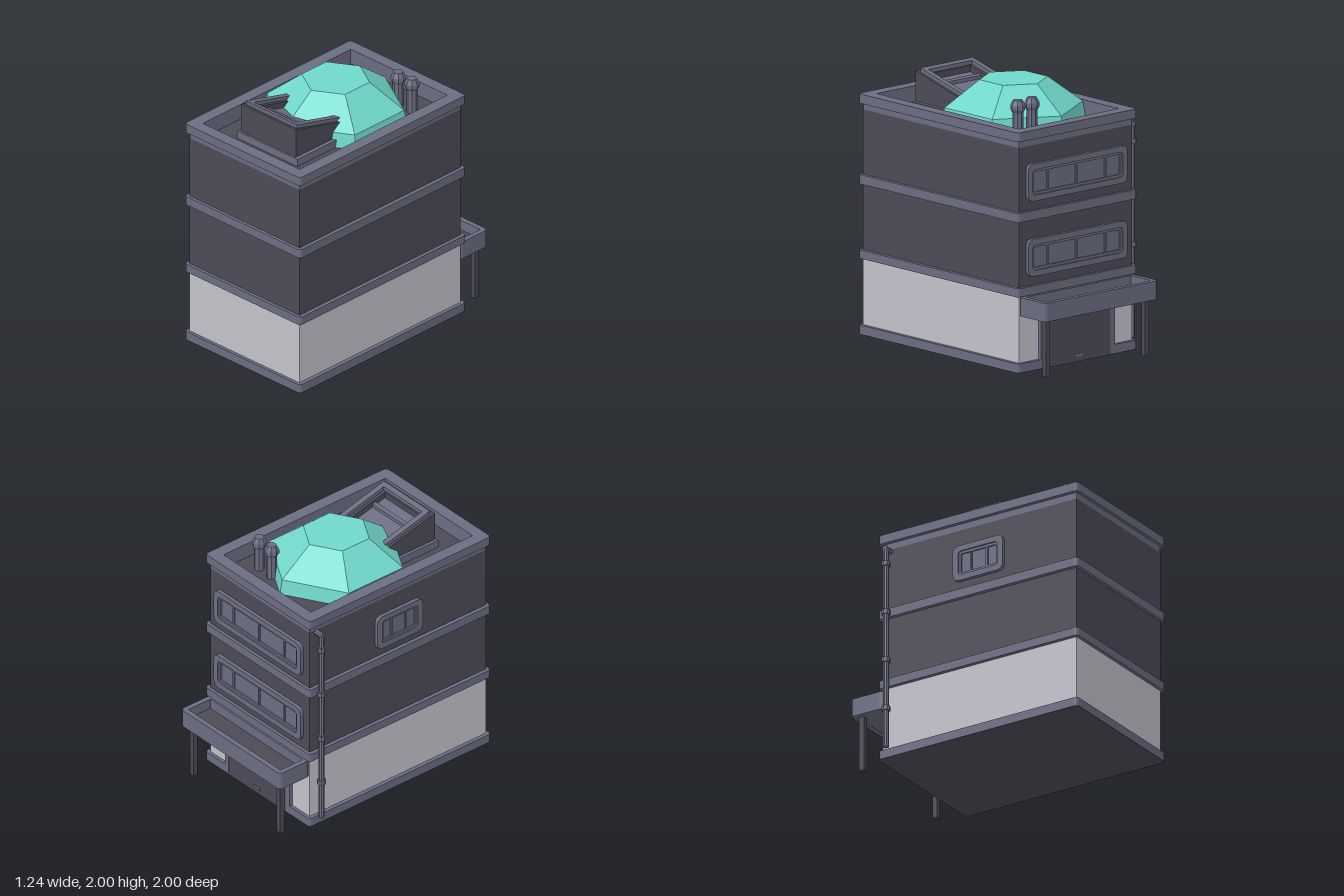
import * as THREE from 'three';

const mat = (name, color) => Object.assign(new THREE.MeshStandardMaterial({ color, flatShading: true }), { name });

export function createModel() {
  const root = new THREE.Group();
  root.name = 'building';
  const trim = mat('slate trim', 0x6b6d82);
  const dark = mat('dark wall', 0x4c4b57);
  const light = mat('pale wall', 0xc3c2cb);
  const teal = mat('teal glass', 0x70d8ca);
  const CX = 0.03, CZ = 0.13;

  const add = (name, geo, m, x = 0, y = 0, z = 0, parent = root) => {
    const mesh = new THREE.Mesh(geo, m);
    mesh.name = name;
    mesh.position.set(x, y, z);
    parent.add(mesh);
    return mesh;
  };
  const box = (name, w, h, d, m, x, y, z, parent) =>
    add(name, new THREE.BoxGeometry(w, h, d), m, x, y, z, parent);

  // rectangle with rounded corners, drawn on a Shape or a Path
  const roundRect = (s, w, h, r) => {
    const a = w / 2, b = h / 2;
    s.moveTo(-a + r, -b).lineTo(a - r, -b).quadraticCurveTo(a, -b, a, -b + r);
    s.lineTo(a, b - r).quadraticCurveTo(a, b, a - r, b);
    s.lineTo(-a + r, b).quadraticCurveTo(-a, b, -a, b - r);
    s.lineTo(-a, -b + r).quadraticCurveTo(-a, -b, -a + r, -b);
    return s;
  };
  const plate = (w, h, r, depth, hole) => {
    const s = roundRect(new THREE.Shape(), w, h, r);
    if (hole) s.holes.push(roundRect(new THREE.Path(), ...hole));
    return new THREE.ExtrudeGeometry(s, { depth, bevelEnabled: false, curveSegments: 3 });
  };
  // the same plate lying flat, from y0 to y1
  const slab = (name, w, d, r, y0, y1, m, hole, x = CX, z = CZ) =>
    add(name, plate(w, d, r, y1 - y0, hole).rotateX(-Math.PI / 2), m, x, y0, z);

  // storeys and the bands between them
  box('groundFloorWalls', 1.12, 0.52, 1.69, light, CX, 0.32, CZ);
  box('upperWalls', 1.12, 1.085, 1.69, dark, CX, 1.1425, CZ);
  slab('underside', 1.18, 1.74, 0.03, 0, 0.005, dark);
  slab('baseBand', 1.18, 1.74, 0.03, 0.005, 0.07, trim);
  slab('lowerBand', 1.18, 1.74, 0.03, 0.57, 0.635, trim);
  slab('middleBand', 1.18, 1.74, 0.03, 1.13, 1.2, trim);
  const opening = [0.985, 1.55, 0.005];
  slab('parapetWall', 1.12, 1.69, 0.005, 1.685, 1.735, trim, opening);
  slab('parapetCap', 1.18, 1.74, 0.03, 1.735, 1.805, trim, opening);

  // six-sided roof dome
  const profile = [[0.54, 1.68], [0.518, 1.8], [0.256, 1.998], [0, 1.998]].map(p => new THREE.Vector2(...p));
  add('dome', new THREE.LatheGeometry(profile, 6), teal, 0, 0, -0.01);

  // sloped skylight: side profiles in (z, y), extruded along x
  const skylight = new THREE.Group();
  skylight.name = 'skylight';
  root.add(skylight);
  const prism = (name, pts, x0, x1, m) => {
    const s = new THREE.Shape(pts.map(p => new THREE.Vector2(...p)));
    const g = new THREE.ExtrudeGeometry(s, { depth: x1 - x0, bevelEnabled: false });
    return add(name, g.rotateY(-Math.PI / 2), m, x1, 0, 0, skylight);
  };
  const slope = z => 1.975 - 0.26 * (0.72 - z);
  // strip that follows the slope between two offsets from it
  const strip = (name, z0, z1, low, high, x0, x1, m) =>
    prism(name, [[z0, slope(z0) + low], [z1, slope(z1) + low], [z1, slope(z1) + high], [z0, slope(z0) + high]], x0, x1, m);
  const upright = (name, z0, z1, drop, x0, x1) =>
    prism(name, [[z0, 1.69], [z1, 1.69], [z1, slope(z1) - drop], [z0, slope(z0) - drop]], x0, x1, dark);
  box('plinth', 0.615, 0.06, 0.58, trim, 0.0275, 1.715, 0.445, skylight);
  upright('skylightCore', 0.15, 0.66, 0.055, -0.165, 0.215);
  upright('skylightFront', 0.64, 0.72, 0, -0.165, 0.215);
  upright('skylightSide', 0.15, 0.72, 0, -0.255, -0.165);
  upright('skylightSide', 0.15, 0.72, 0, 0.215, 0.305);
  strip('skylightPane', 0.15, 0.64, -0.055, -0.047, -0.165, 0.215, trim);
  strip('skylightCrossbar', 0.52, 0.55, -0.047, -0.02, -0.165, 0.215, trim);
  strip('frameRail', 0.15, 0.69, 0, 0.03, -0.235, -0.19, trim);
  strip('frameRail', 0.15, 0.69, 0, 0.03, 0.24, 0.285, trim);
  strip('frameFrontRail', 0.65, 0.69, 0, 0.03, -0.19, 0.24, trim);

  // roof vents
  const vent = [[0.04, 1.68], [0.04, 1.87], [0.055, 1.895], [0.055, 1.925], [0.036, 1.963], [0, 1.963]]
    .map(p => new THREE.Vector2(...p));
  for (const x of [0.215, 0.355]) add('roofVent', new THREE.LatheGeometry(vent, 8), trim, x, 0, -0.445);

  // drainpipe with collars and an elbow into the wall
  add('drainpipe', new THREE.CylinderGeometry(0.022, 0.022, 1.6, 8), trim, -0.59, 0.87, -0.65);
  add('drainElbow', new THREE.CylinderGeometry(0.022, 0.022, 0.085, 8).rotateZ(Math.PI / 2), trim, -0.565, 1.668, -0.65);
  for (const y of [0.38, 0.77, 1.155, 1.545])
    add('pipeCollar', new THREE.CylinderGeometry(0.033, 0.033, 0.036, 8), trim, -0.59, y, -0.65);

  // framed windows, built facing +z; bars are fractions of the opening
  const addWindow = (name, w, bars, x, y, z, turn) => {
    const g = new THREE.Group();
    g.name = name;
    g.position.set(x, y, z);
    g.rotation.y = turn;
    root.add(g);
    const iw = w - 0.09, ih = 0.19;
    add('windowFrame', plate(w, 0.28, 0.05, 0.03, [iw, ih, 0.03]), trim, 0, 0, 0, g);
    add('innerFrame', plate(iw, ih, 0.03, 0.018, [iw - 0.04, ih - 0.04, 0.005]), trim, 0, 0, 0, g);
    box('pane', iw - 0.02, ih - 0.02, 0.006, trim, 0, 0, 0.003, g);
    for (const f of bars) box('windowBar', 0.016, ih - 0.03, 0.016, trim, (f - 0.5) * iw, 0, 0.008, g);
  };
  for (const y of [0.845, 1.41]) addWindow('backWindow', 0.98, [0.18, 0.5, 0.82], CX, y, -0.713, Math.PI);
  addWindow('sideWindow', 0.435, [0.3, 0.7], -0.529, 1.41, 0.13, -Math.PI / 2);

  // wide back door
  for (const s of [-1, 1]) box('doorPost', 0.045, 0.44, 0.04, trim, CX + s * 0.3425, 0.24, -0.723);
  box('doorLintel', 0.73, 0.06, 0.04, trim, CX, 0.47, -0.723);
  box('door', 0.64, 0.44, 0.03, dark, CX, 0.22, -0.727);
  box('doorHandle', 0.07, 0.02, 0.008, trim, CX, 0.05, -0.745);

  // canopy tray over the door, on two legs
  const canopyZ = -0.855;
  slab('canopyRim', 1.12, 0.29, 0.035, 0.425, 0.565, trim, [1.04, 0.21, 0.005], CX, canopyZ);
  box('canopyFloor', 1.05, 0.05, 0.22, trim, CX, 0.452, canopyZ);
  box('canopyDeck', 1.045, 0.008, 0.215, dark, CX, 0.481, canopyZ);
  for (const s of [-1, 1]) box('canopyLeg', 0.04, 0.43, 0.04, dark, CX + s * 0.49, 0.215, -0.935);

  return root;
}
